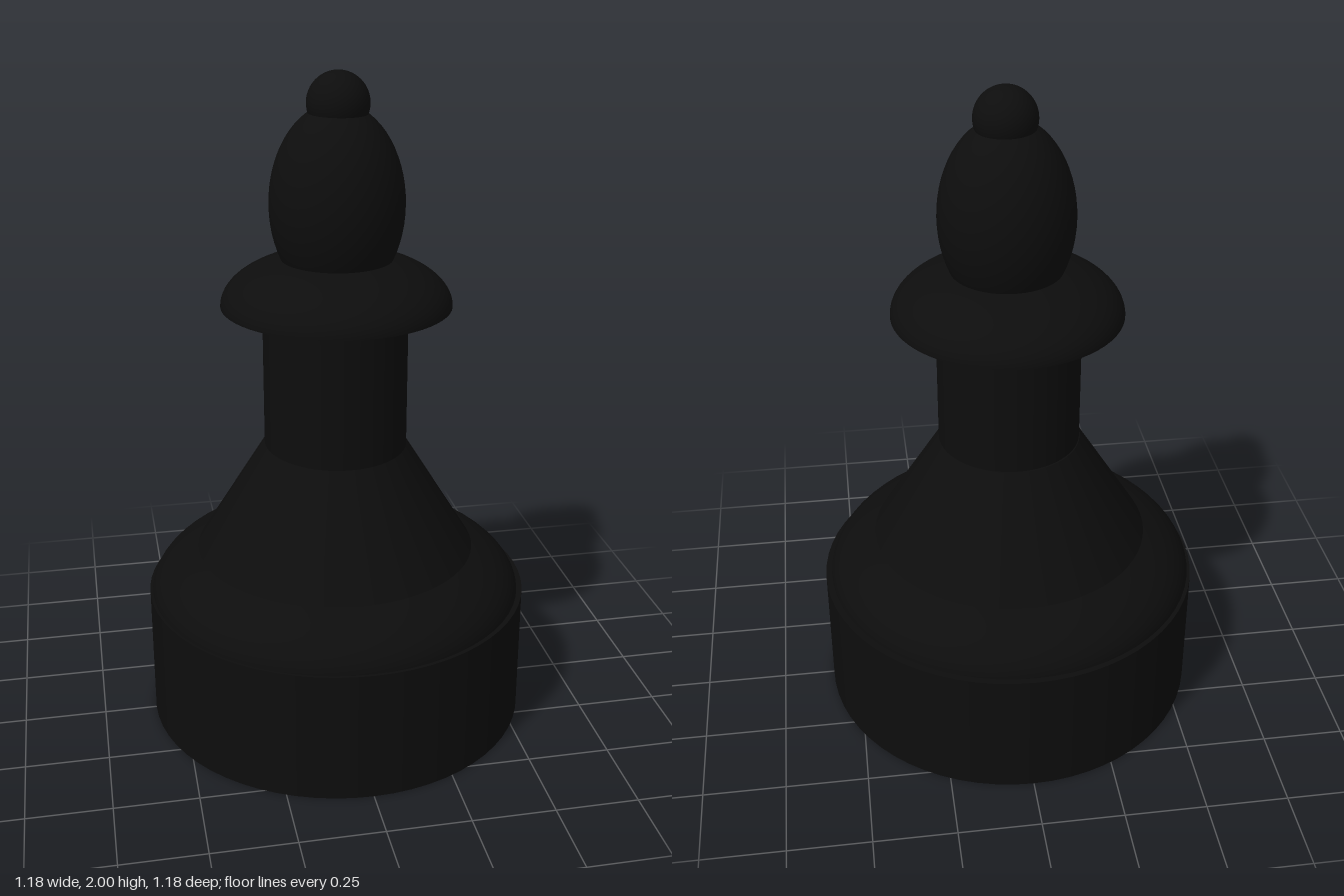
import * as THREE from 'three';

const SEG = 64;

export function createModel() {
  const model = new THREE.Group();
  const black = new THREE.MeshStandardMaterial({ color: 0x0d0d0d });
  black.name = 'black';

  const add = (name, geometry, x, y, z) => {
    const mesh = new THREE.Mesh(geometry, black);
    mesh.name = name;
    mesh.position.set(x, y, z);
    model.add(mesh);
  };
  // Drum or cone standing from y0 to y1
  const drum = (name, rBottom, rTop, y0, y1, x = 0, z = 0) =>
    add(name, new THREE.CylinderGeometry(rTop, rBottom, y1 - y0, SEG), x, (y0 + y1) / 2, z);
  // Ellipsoid of radius r and half height h
  const egg = (name, r, h, y, x = 0, z = 0) =>
    add(name, new THREE.SphereGeometry(r, SEG, 32).scale(1, h / r, 1), x, y, z);
  // Upper half of an ellipsoid, closed by a flat underside
  const dome = (name, r, h, y, x = 0, z = 0) => {
    const cap = new THREE.SphereGeometry(r, SEG, 24, 0, Math.PI * 2, 0, Math.PI / 2);
    add(name, cap.scale(1, h / r, 1), x, y, z);
    add(name + 'Underside', new THREE.CircleGeometry(r, SEG).rotateX(Math.PI / 2), x, y, z);
  };

  // Foot
  drum('base', 0.588, 0.588, 0, 0.408);
  dome('baseDome', 0.575, 0.22, 0.4, -0.005, 0.005);

  // Stem
  drum('skirt', 0.432, 0.216, 0.54, 0.89, -0.005, 0.007);
  drum('neck', 0.216, 0.216, 0.88, 1.34, -0.004, 0.012);

  // Collar and head
  dome('collar', 0.343, 0.16, 1.32, 0.002, -0.003);
  egg('head', 0.198, 0.29, 1.62, 0.004, -0.003);
  egg('finial', 0.091, 0.091, 1.909, 0.007, -0.003);

  return model;
}
